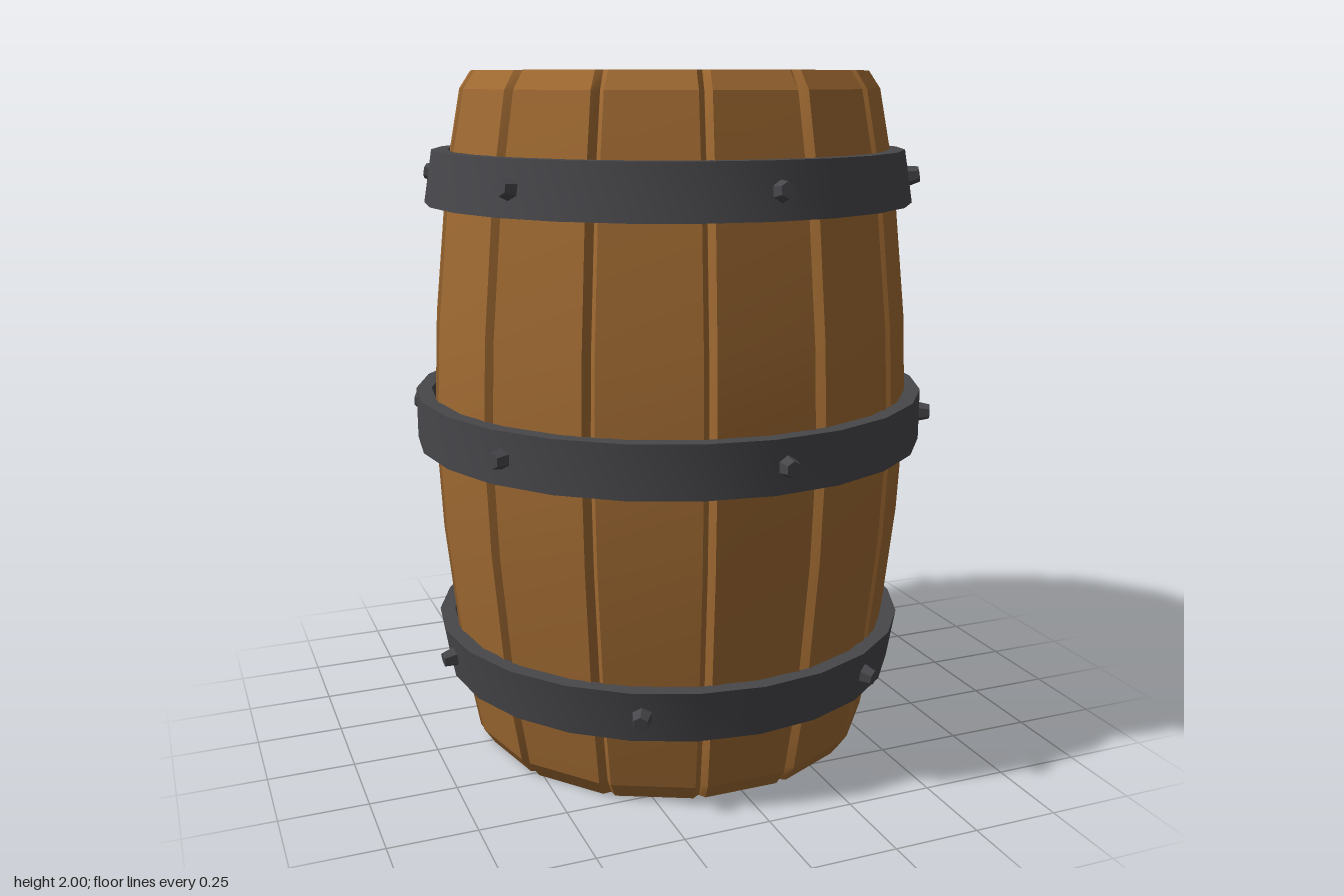
import * as THREE from 'three';
import { toCreasedNormals } from 'three/addons/utils/BufferGeometryUtils.js';

const STAVES = 14;
const wood = new THREE.MeshStandardMaterial({ color: 0xa06a32 });
wood.name = 'wood';
const iron = new THREE.MeshStandardMaterial({ color: 0x47464a });
iron.name = 'iron';

function addMesh(parent, name, geometry, material) {
  const mesh = new THREE.Mesh(geometry, material);
  mesh.name = name;
  parent.add(mesh);
  return mesh;
}

// Loft of the bulging wall: each level is [height, face distance, groove depth]
function staveWall() {
  const levels = [
    [0, 0.565, 0.02], [0.05, 0.598, 0.025], [0.22, 0.63, 0.025], [0.37, 0.652, 0.025],
    [0.7, 0.686, 0.025], [1, 0.7, 0.025], [1.3, 0.686, 0.025], [1.63, 0.652, 0.025],
    [1.78, 0.63, 0.025], [1.95, 0.598, 0.025], [2, 0.565, 0.02],
    [2, 0.54, 0], [1.9, 0.525, 0],
  ];
  const positions = [];
  const index = [];
  for (const [y, dist, groove] of levels) {
    const half = dist * Math.tan(Math.PI / STAVES);
    for (let s = 0; s < STAVES; s++) {
      const a = (s / STAVES) * Math.PI * 2;
      const section = [
        [-half + 0.006, dist - groove], [-half + 0.018, dist],
        [half - 0.018, dist], [half - 0.006, dist - groove],
      ];
      for (const [t, d] of section) {
        positions.push(d * Math.sin(a) + t * Math.cos(a), y, d * Math.cos(a) - t * Math.sin(a));
      }
    }
  }
  const n = STAVES * 4;
  for (let i = 0; i < levels.length - 1; i++) {
    for (let j = 0; j < n; j++) {
      const k = (j + 1) % n;
      const a = i * n + j, b = i * n + k, c = b + n, d = a + n;
      index.push(a, b, c, a, c, d);
    }
  }
  const g = new THREE.BufferGeometry();
  g.setAttribute('position', new THREE.Float32BufferAttribute(positions, 3));
  g.setIndex(index);
  return toCreasedNormals(g, 0.3);
}

// One lid board: the slice of a disc between two x values
function lidBoard(x0, x1, radius, depth) {
  const shape = new THREE.Shape();
  const a0 = Math.acos(x0 / radius), a1 = Math.acos(x1 / radius);
  const steps = 7;
  for (let i = 0; i <= steps; i++) {
    const a = a1 + ((a0 - a1) * i) / steps;
    const x = radius * Math.cos(a), y = radius * Math.sin(a);
    if (i === 0) shape.moveTo(x, y);
    else shape.lineTo(x, y);
  }
  for (let i = 0; i <= steps; i++) {
    const a = a0 + ((a1 - a0) * i) / steps;
    shape.lineTo(radius * Math.cos(a), -radius * Math.sin(a));
  }
  const g = new THREE.ExtrudeGeometry(shape, { depth, bevelEnabled: false });
  return g.rotateX(-Math.PI / 2);
}

// Closed band with separate lower and upper radii
function hoopBand(y0, y1, r0, r1, thickness) {
  const profile = [
    [r0 - thickness, y0], [r0, y0], [r1, y1], [r1 - thickness, y1], [r0 - thickness, y0],
  ].map(([r, y]) => new THREE.Vector2(r, y));
  return toCreasedNormals(new THREE.LatheGeometry(profile, 24), 0.5);
}

export function createModel() {
  const barrel = new THREE.Group();
  barrel.name = 'barrel';

  // Wooden body
  addMesh(barrel, 'staves', staveWall(), wood);
  const bottom = new THREE.CircleGeometry(0.565 / Math.cos(Math.PI / STAVES), STAVES);
  addMesh(barrel, 'bottomHead', bottom.rotateX(Math.PI / 2), wood);

  // Recessed lid of four boards over a backing disc
  const lid = new THREE.Group();
  lid.name = 'lid';
  barrel.add(lid);
  const backing = new THREE.CircleGeometry(0.535, 28).rotateX(-Math.PI / 2);
  addMesh(lid, 'lidBacking', backing, wood).position.y = 1.901;
  const edges = [-0.529, -0.265, 0, 0.265, 0.529];
  for (let i = 0; i < 4; i++) {
    const board = lidBoard(edges[i] + 0.008, edges[i + 1] - 0.008, 0.53, 0.03);
    addMesh(lid, 'lidBoard', board, wood).position.y = 1.892;
  }

  // Iron hoops, each with six hexagonal bolts
  const hoops = [
    { name: 'bottomHoop', y: 0.305, r0: 0.685, r1: 0.71, turn: 32.5 },
    { name: 'middleHoop', y: 1.005, r0: 0.755, r1: 0.755, turn: 2.5 },
    { name: 'topHoop', y: 1.705, r0: 0.71, r1: 0.685, turn: 2.5 },
  ];
  const boltShape = new THREE.CylinderGeometry(0.022, 0.033, 0.05, 6).toNonIndexed();
  boltShape.computeVertexNormals();
  boltShape.rotateX(Math.PI / 2);
  for (const { name, y, r0, r1, turn } of hoops) {
    const hoop = new THREE.Group();
    hoop.name = name;
    barrel.add(hoop);
    addMesh(hoop, name + 'Band', hoopBand(y - 0.075, y + 0.075, r0, r1, 0.045), iron);
    for (let i = 0; i < 6; i++) {
      const a = THREE.MathUtils.degToRad(turn + i * 60);
      const r = (r0 + r1) / 2 + 0.007;
      const bolt = addMesh(hoop, 'bolt', boltShape, iron);
      bolt.position.set(r * Math.sin(a), y, r * Math.cos(a));
      bolt.rotation.set(Math.atan2(r0 - r1, 0.15) * -1, a, 0, 'YXZ');
    }
  }
  return barrel;
}
